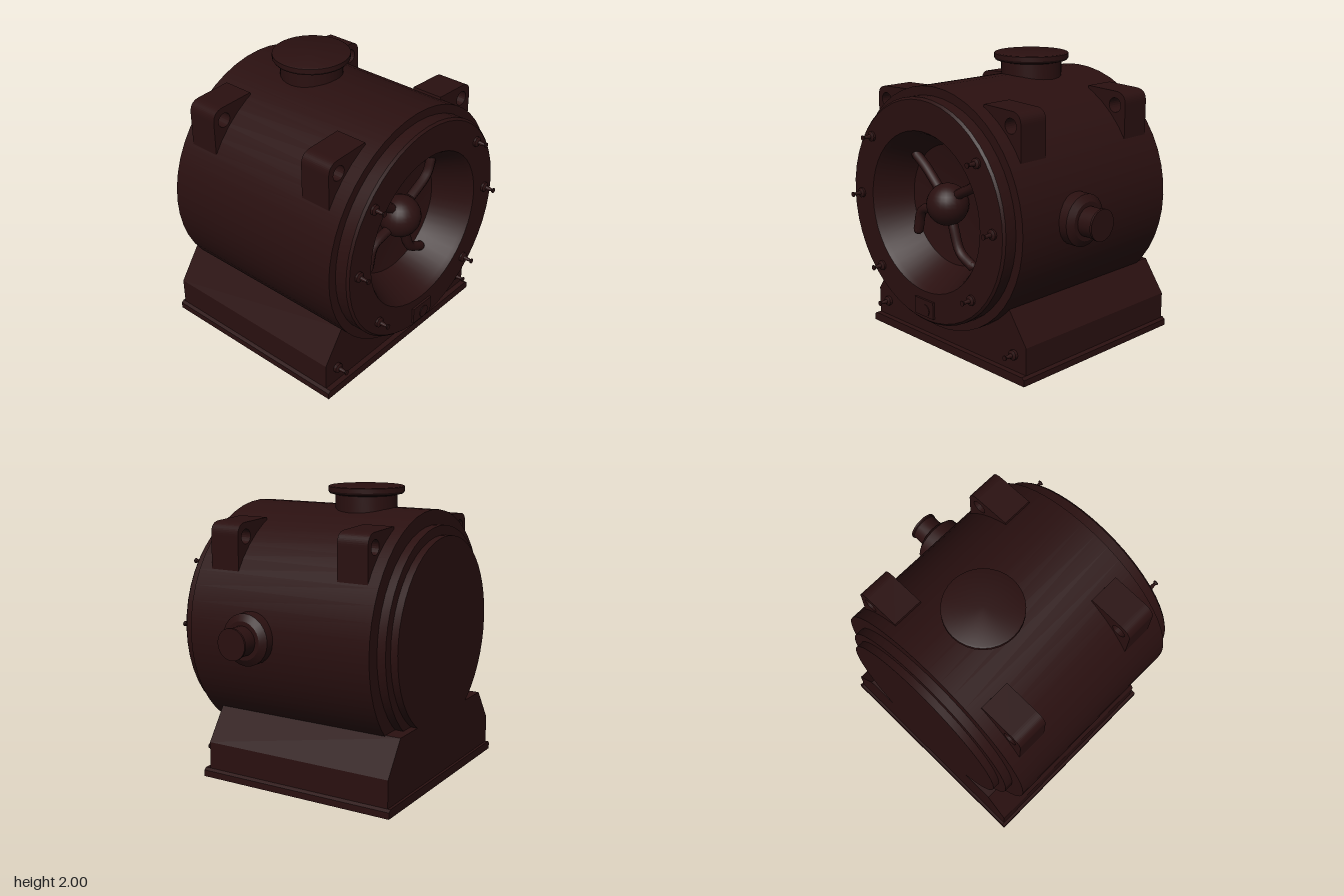
import * as THREE from 'three';
import { toCreasedNormals } from 'three/addons/utils/BufferGeometryUtils.js';

const CX = -0.11, CY = 1.04; // axis of the drum

export function createModel() {
  const group = new THREE.Group();
  const iron = new THREE.MeshStandardMaterial({ color: 0x2a1010 });
  iron.name = 'darkIron';

  const add = (name, geometry, x = 0, y = 0, z = 0) => {
    const mesh = new THREE.Mesh(geometry, iron);
    mesh.name = name;
    mesh.position.set(x, y, z);
    group.add(mesh);
    return mesh;
  };
  // Turned part: [radius, height] pairs, from the bottom up
  const turned = (profile, sides) => toCreasedNormals(
    new THREE.LatheGeometry(profile.map(([r, h]) => new THREE.Vector2(r, h)), sides), 0.5);
  const shapeOf = (points) => new THREE.Shape(points.map(([x, y]) => new THREE.Vector2(x, y)));
  const extruded = (shape, depth) => new THREE.ExtrudeGeometry(shape, { depth, bevelEnabled: false, curveSegments: 12 });

  // Drum with stepped back cover, front ring and dished intake
  add('drum', turned([
    [0, -0.83], [0.665, -0.83], [0.665, -0.78], [0.73, -0.78], [0.73, -0.72],
    [0.83, -0.72], [0.83, 0.66], [0.77, 0.66], [0.77, 0.745], [0.755, 0.76],
    [0.55, 0.76], [0.53, 0.73], [0.42, 0.5], [0, 0.42],
  ], 48).rotateX(Math.PI / 2), CX, CY - 0.01);

  // Pedestal and foot plate
  const pedestal = shapeOf([[-0.77, 0.05], [0.77, 0.05], [0.77, 0.25], [0.61, 0.48], [-0.61, 0.48], [-0.77, 0.25]]);
  add('pedestal', extruded(pedestal, 1.40), CX, 0, -0.83);
  const foot = shapeOf([[-0.79, 0], [0.79, 0], [0.79, 0.045], [0.77, 0.06], [-0.77, 0.06], [-0.79, 0.045]]);
  add('footPlate', extruded(foot, 1.46), CX, 0, -0.85);

  // Four lifting lugs with eyes
  for (const side of [-1, 1]) {
    const lug = new THREE.Shape();
    lug.moveTo(side * 0.71, 1.42);
    lug.lineTo(side * 0.71, 1.69);
    lug.quadraticCurveTo(side * 0.71, 1.77, side * 0.63, 1.775);
    lug.lineTo(side * 0.38, 1.785);
    lug.lineTo(side * 0.34, 1.6);
    const eye = new THREE.Path();
    eye.absarc(side * 0.62, 1.68, 0.05, 0, Math.PI * 2);
    lug.holes.push(eye);
    for (const z of [0.34, -0.64]) add('liftingLug', extruded(lug, 0.22), CX, 0, z);
  }

  // Top outlet and side inlet
  add('topOutlet', turned([
    [0.21, 1.75], [0.21, 1.94], [0.25, 1.95], [0.26, 1.965], [0.26, 1.995], [0.25, 2], [0, 2],
  ], 32), -0.1, 0, -0.23);
  add('sideInlet', turned([
    [0.175, 0.65], [0.175, 0.78], [0.13, 0.81], [0.1, 0.81], [0.1, 0.91],
    [0.107, 0.915], [0.107, 0.93], [0, 0.93],
  ], 24).rotateZ(-Math.PI / 2), 0, 1.05, 0.165);

  // Hub with four curved vanes
  add('hub', new THREE.SphereGeometry(0.145, 24, 16), CX, 1.05, 0.55);
  const vanes = [
    [[-0.2, 1.15], [-0.33, 1.27], [-0.43, 1.34]],
    [[0.0, 1.14], [0.17, 1.24], [0.22, 1.36]],
    [[-0.22, 1.0], [-0.38, 0.95], [-0.43, 0.8]],
    [[-0.06, 0.92], [0.01, 0.74], [0.13, 0.67]],
  ];
  for (const points of vanes) {
    const curve = new THREE.CatmullRomCurve3(points.map(([x, y]) => new THREE.Vector3(x, y, 0.55)));
    add('vane', new THREE.TubeGeometry(curve, 12, 0.035, 8));
    const tip = points[2];
    add('vaneTip', new THREE.SphereGeometry(0.035, 10, 8), tip[0], tip[1], 0.55);
  }

  // Bolts on the front ring and on the pedestal
  const bolt = turned([
    [0.035, -0.01], [0.035, 0.015], [0.016, 0.025], [0.01, 0.07], [0.018, 0.078], [0.018, 0.085], [0, 0.085],
  ], 12).rotateX(Math.PI / 2);
  for (const side of [-1, 1]) {
    for (const [x, y, z] of [[0.67, 1.04, 0.76], [0.53, 1.465, 0.76], [0.465, 0.55, 0.76], [0.66, 0.175, 0.575]]) {
      add('bolt', bolt, CX + side * x, y, z);
    }
  }

  // Drain plate with plug below the intake
  add('drainPlate', new THREE.BoxGeometry(0.19, 0.12, 0.03), -0.115, 0.365, 0.76);
  add('drainPlug', new THREE.CylinderGeometry(0.043, 0.043, 0.03, 16).rotateX(Math.PI / 2), -0.1, 0.35, 0.765);

  return group;
}
